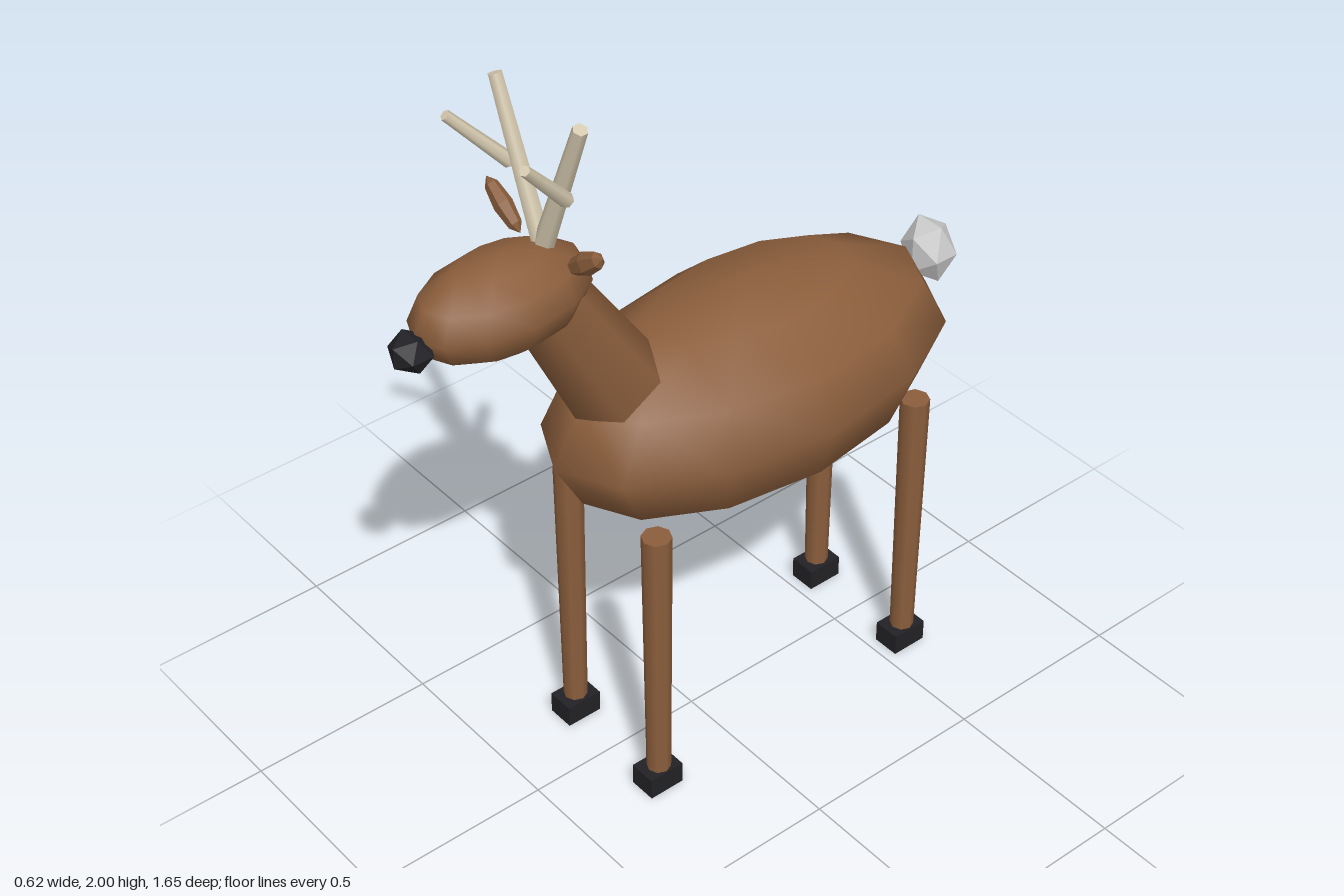
import * as THREE from 'three';

const mat = (color, flatShading = false) => {
  const m = new THREE.MeshStandardMaterial({ flatShading });
  m.color.set(color);
  return m;
};

export function createModel() {
  const model = new THREE.Group();
  model.name = 'deer';
  const fur = mat(0x8b5e3c);
  const furFlat = mat(0x8b5e3c, true);
  const cream = mat(0xc8b698);
  const bone = mat(0xd6cab0);
  const dark = mat(0x222226, true);
  const white = mat(0xeeeeee, true);

  const add = (name, geometry, material, x, y, z) => {
    const mesh = new THREE.Mesh(geometry, material);
    mesh.name = name;
    mesh.position.set(x, y, z);
    model.add(mesh);
    return mesh;
  };

  // Scaled low-poly ball
  const ball = (name, geometry, material, [x, y, z], [rx, ry, rz]) => {
    const mesh = add(name, geometry, material, x, y, z);
    mesh.scale.set(rx, ry, rz);
    return mesh;
  };

  // Tapered rod between two points
  const rod = (name, from, to, r0, r1, sides, material) => {
    const a = new THREE.Vector3(...from);
    const b = new THREE.Vector3(...to);
    const dir = b.clone().sub(a);
    const mid = a.clone().lerp(b, 0.5);
    const mesh = add(name, new THREE.CylinderGeometry(r1, r0, dir.length(), sides), material, mid.x, mid.y, mid.z);
    mesh.quaternion.setFromUnitVectors(new THREE.Vector3(0, 1, 0), dir.normalize());
    return mesh;
  };

  // Body, belly patch, neck and head
  const sphere = new THREE.SphereGeometry(1, 12, 6);
  ball('body', sphere, fur, [0, 0.99, -0.178], [0.312, 0.285, 0.59]);
  ball('belly', sphere, cream, [0, 0.885, -0.178], [0.242, 0.183, 0.47]);
  rod('neck', [0, 1.165, 0.235], [0, 1.51, 0.435], 0.125, 0.095, 6, fur);
  ball('head', sphere, fur, [0, 1.533, 0.538], [0.135, 0.122, 0.233]);

  // Nose and tail
  const ico = new THREE.IcosahedronGeometry(1, 0);
  ball('nose', ico, dark, [0, 1.507, 0.778], [0.056, 0.05, 0.053]);
  ball('tail', ico, white, [0, 1.093, -0.77], [0.078, 0.094, 0.065]);

  const earGeometry = new THREE.SphereGeometry(1, 6, 4);
  for (const s of [1, -1]) {
    const side = s > 0 ? 'left' : 'right';

    // Legs and hooves
    for (const [end, z] of [['Front', 0.247], ['Back', -0.583]]) {
      rod(`${side}${end}Leg`, [s * 0.17, 0.03, z], [s * 0.17, 0.81, z], 0.031, 0.038, 8, fur);
      add(`${side}${end}Hoof`, new THREE.BoxGeometry(0.075, 0.06, 0.1), dark, s * 0.168, 0.03, z + 0.002);
    }

    // Ear leaning outwards
    const ear = ball(`${side}Ear`, earGeometry, furFlat, [s * 0.148, 1.653, 0.415], [0.028, 0.075, 0.022]);
    ear.rotation.z = -s * 0.93;

    // Antler beam and forward tine
    rod(`${side}AntlerBeam`, [0, 1.62, 0.42], [s * 0.148, 1.992, 0.42], 0.025, 0.018, 6, bone);
    rod(`${side}AntlerTine`, [s * 0.1, 1.795, 0.425], [s * 0.14, 1.945, 0.56], 0.018, 0.013, 6, bone);
  }

  return model;
}
